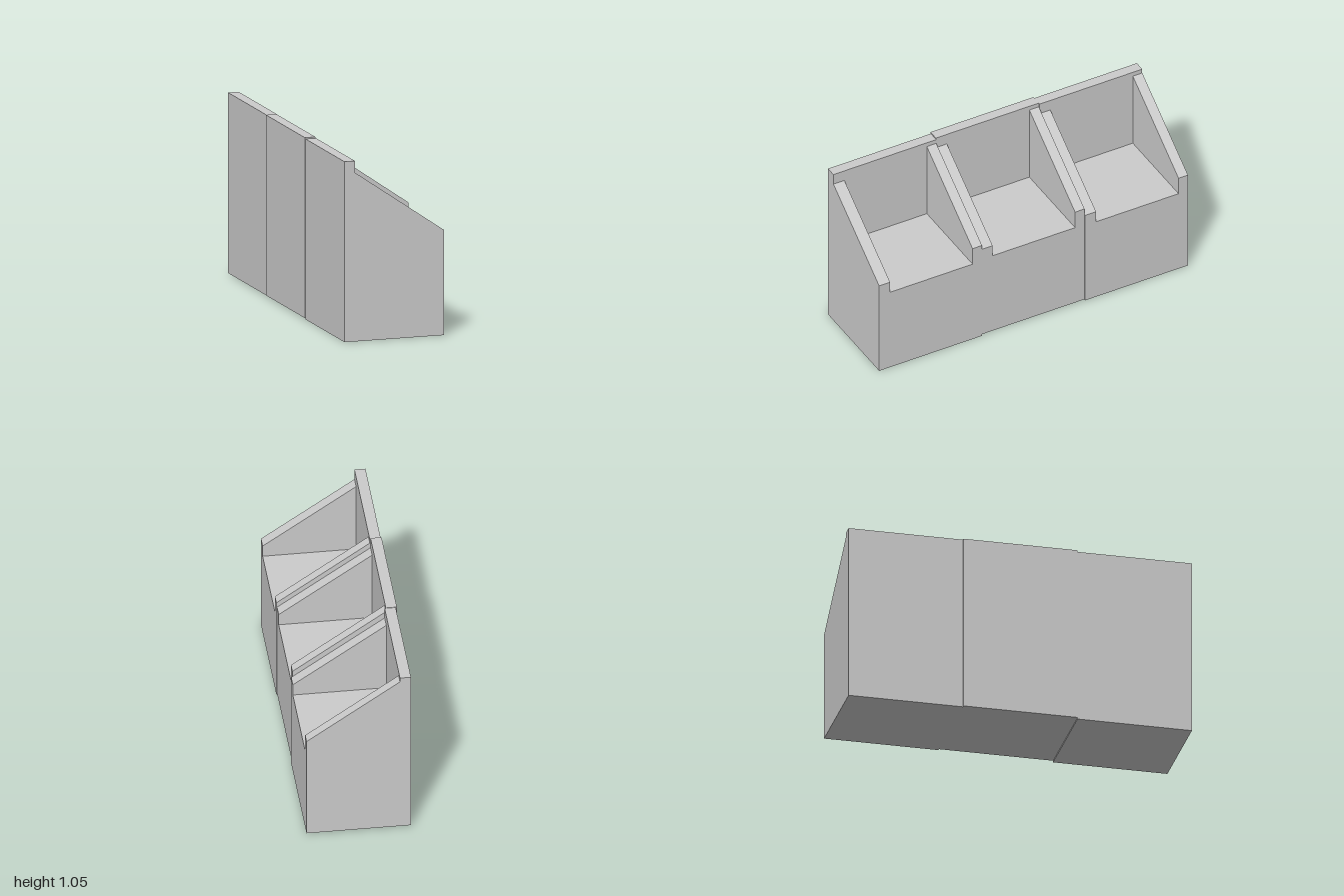
import * as THREE from 'three';

const material = new THREE.MeshStandardMaterial({ color: 0xcccccc, flatShading: true });

const WIDTH = 0.597;       // back to open face, along x
const BACK = 0.063;        // back wall thickness
const LENGTH = 2 / 3;      // one bin, along z
const HEIGHT = 1.045;
const FLOOR = 0.537;

// Extrudes an x-y profile along z from z0 to z1
function slab(name, points, z0, z1) {
  const shape = new THREE.Shape(points.map(([x, y]) => new THREE.Vector2(x, y)));
  const geometry = new THREE.ExtrudeGeometry(shape, { depth: z1 - z0, bevelEnabled: false });
  geometry.translate(0, 0, z0);
  const mesh = new THREE.Mesh(geometry, material);
  mesh.name = name;
  return mesh;
}

// Side wall: full-height strip at the back, then a sloping top edge
const wallProfile = (high, low) => [
  [0, 0], [WIDTH, 0], [WIDTH, low], [BACK, high], [BACK, HEIGHT], [0, HEIGHT],
];

// Body: solid base with the upright back wall
const bodyProfile = [
  [0, 0], [WIDTH, 0], [WIDTH, FLOOR], [BACK, FLOOR], [BACK, HEIGHT], [0, HEIGHT],
];

function createBin() {
  const bin = new THREE.Group();
  const h = LENGTH / 2, lowWall = 0.071, highWall = 0.061;
  bin.add(
    slab('highSideWall', wallProfile(1.018, 0.648), -h, -h + highWall),
    slab('baseAndBackWall', bodyProfile, -h + highWall, h - lowWall),
    slab('lowSideWall', wallProfile(0.977, 0.609), h - lowWall, h),
  );
  return bin;
}

export function createModel() {
  const model = new THREE.Group();
  model.name = 'binRow';
  // Three bins, slightly out of line with each other: [name, x, y, z]
  const bins = [
    ['frontBin', -0.3, 0, LENGTH],
    ['middleBin', -0.304, 0.008, 0],
    ['rearBin', -0.297, 0.005, -LENGTH],
  ];
  for (const [name, x, y, z] of bins) {
    const bin = createBin();
    bin.name = name;
    bin.position.set(x, y, z);
    model.add(bin);
  }
  return model;
}
